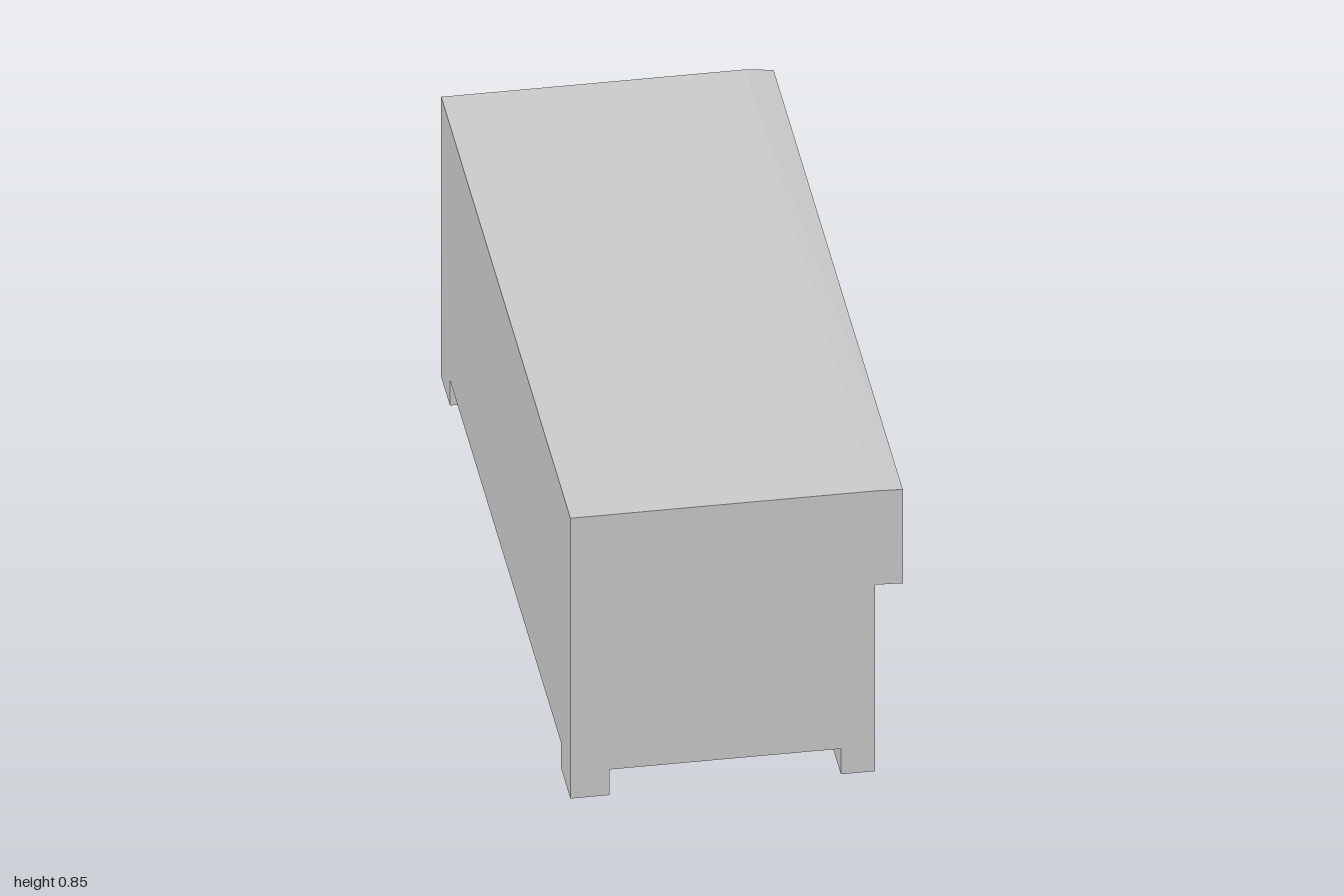
import * as THREE from 'three';

const BACK = -0.427, FRONT = 0.355, LIP = 0.427;
const TOP = 0.845, CEILING = 0.562, FLOOR = 0.135, BASE = 0.077;
const INNER_BACK = -0.327, Z_FRONT = 0.855, Z_REAR = -0.865;

// Top slab and overhanging lip, shared by every cross-section
const upper = [[FRONT, CEILING], [LIP, CEILING], [LIP, TOP], [FRONT, TOP], [BACK, TOP]];

const endProfile = [
  [BACK, 0], [INNER_BACK, 0], [INNER_BACK, BASE], [0.268, BASE], [0.268, 0], [FRONT, 0],
  ...upper,
];

const middleProfile = [
  [BACK, BASE], [FRONT, BASE], [FRONT, FLOOR],
  [INNER_BACK, FLOOR], [INNER_BACK, CEILING],
  ...upper,
];

// Extrude a cross-section along z, letting the lip sag slightly towards the rear
function section(name, profile, z0, z1, material) {
  const shape = new THREE.Shape(profile.map(([x, y]) => new THREE.Vector2(x, y)));
  const geometry = new THREE.ExtrudeGeometry(shape, { depth: z1 - z0, bevelEnabled: false });
  geometry.translate(0, 0, z0);
  const p = geometry.attributes.position;
  for (let i = 0; i < p.count; i++) {
    if (p.getX(i) > 0.4) p.setY(i, p.getY(i) - 0.006 + 0.003 * p.getZ(i));
  }
  geometry.computeVertexNormals();
  const mesh = new THREE.Mesh(geometry, material);
  mesh.name = name;
  return mesh;
}

export function createModel() {
  const group = new THREE.Group();
  group.name = 'openBench';
  const material = new THREE.MeshStandardMaterial({ color: 0xcccccc, flatShading: true });

  // End panels with feet, joined by the open compartment
  group.add(
    section('frontEndPanel', endProfile, Z_FRONT, 1, material),
    section('rearEndPanel', endProfile, -1, Z_REAR, material),
    section('openCompartment', middleProfile, Z_REAR, Z_FRONT, material),
  );

  return group;
}
